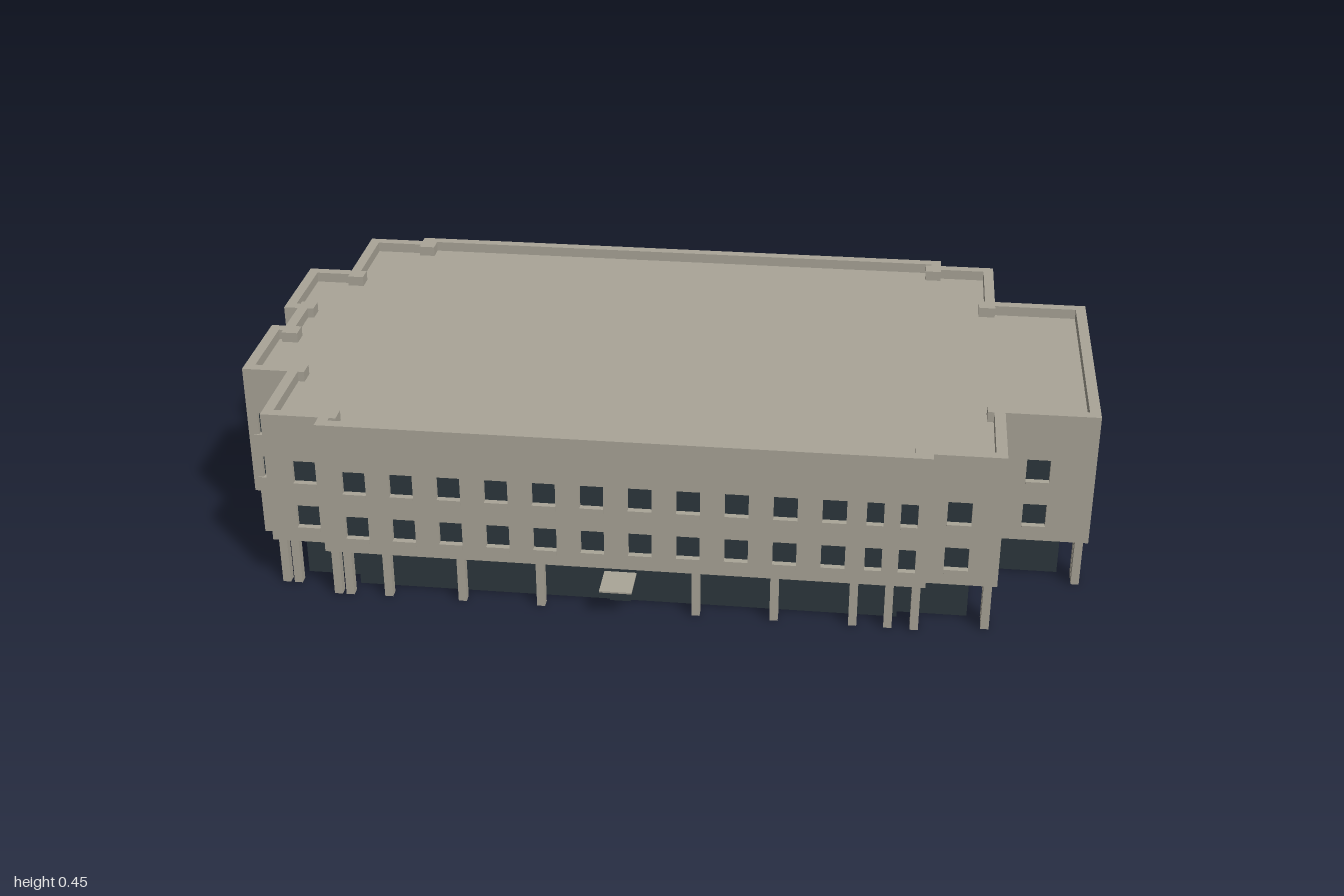
import * as THREE from 'three';

const stone = new THREE.MeshStandardMaterial({ color: 0xaaa598 });
stone.name = 'warm grey stone';
const glass = new THREE.MeshStandardMaterial({ color: 0x2d373d });
glass.name = 'dark glass';
const glassSheet = glass.clone(); // same colour, seen from both sides
glassSheet.side = THREE.DoubleSide;

const TOP = 0.45, BASE = 0.12, DECK = 0.425, WALL = 0.025, INSET = 0.06;
const SILLS = [0.147, 0.264], WIN_H = 0.069, WIN_W = 0.054, SILL_H = 0.012;

// Window positions along the two long facades; [position, width] for narrow ones
const long = [...Array(11).keys()].map(i => -0.675 + i * 0.109);
long.push([0.505, 0.038], [0.58, 0.038]);

// Footprint corners (x, z), each with the windows of the wall that starts there
const plan = [
  [-0.755, 0.532, long],
  [0.625, 0.532, []],
  [0.625, 0.51, [0.69]],
  [0.785, 0.51, [0.44, 0.335]],
  [0.785, 0.295, [0.87]],
  [1, 0.295, [0.22, 0.095, [0, 0.024], -0.1, -0.225]],
  [1, -0.312, [0.88]],
  [0.775, -0.312, [-0.345, -0.45]],
  [0.775, -0.525, [0.70]],
  [0.64, -0.525, []],
  [0.64, -0.557, long],
  [-0.75, -0.557, []],
  [-0.75, -0.535, [-0.81]],
  [-0.89, -0.535, [-0.47, -0.375]],
  [-0.89, -0.32, [-0.945]],
  [-1, -0.32, [-0.25, -0.14]],
  [-1, -0.075, []],
  [-0.965, -0.075, [[-0.022, 0.03]]],
  [-0.965, 0.03, []],
  [-1, 0.03, [0.09, 0.2]],
  [-1, 0.275, [[-0.975, 0.026], [-0.915, 0.034]]],
  [-0.89, 0.275, [0.335, 0.43]],
  [-0.89, 0.495, [-0.80]],
  [-0.755, 0.495, []],
];
const N = plan.length;
const corner = i => new THREE.Vector2(plan[(i + N) % N][0], plan[(i + N) % N][1]);
const dirOf = i => corner(i + 1).sub(corner(i)).normalize();
const normalOf = i => { const d = dirOf(i); return new THREE.Vector2(-d.y, d.x); };

// Corner moved inward by a on the wall before it and b on the wall after it
const inward = (i, a, b = a) =>
  corner(i).addScaledVector(normalOf(i - 1), -a).addScaledVector(normalOf(i), -b);
const insetPlan = d => plan.map((_, i) => inward(i, d));

function add(parent, name, geo, mat, x = 0, y = 0, z = 0) {
  const m = new THREE.Mesh(geo, mat);
  m.name = name;
  m.position.set(x, y, z);
  parent.add(m);
  return m;
}

const box = (parent, name, mat, w, h, d, x, y, z) =>
  add(parent, name, new THREE.BoxGeometry(w, h, d), mat, x, y, z);

function rect(cls, x0, x1, y0, y1) {
  return new cls([[x0, y0], [x1, y0], [x1, y1], [x0, y1]].map(p => new THREE.Vector2(...p)));
}

// Horizontal plate from a plan shape, with its upper face at the given height
function plate(parent, name, shape, top, thick) {
  const geo = new THREE.ExtrudeGeometry(shape, { depth: thick, bevelEnabled: false });
  add(parent, name, geo, stone, 0, top, 0).rotation.x = Math.PI / 2;
}

// One upper wall: local x runs along it, local z points outward
function upperWall(parent, i) {
  const a = corner(i), d = dirOf(i), len = a.distanceTo(corner(i + 1));
  const g = new THREE.Group();
  g.name = 'upperWall';
  g.position.set(a.x, 0, a.y);
  g.rotation.y = Math.atan2(-d.y, d.x);
  const shape = rect(THREE.Shape, 0, len, BASE, TOP);
  for (const win of plan[i][2]) {
    const [pos, w] = Array.isArray(win) ? win : [win, WIN_W];
    const c = Math.abs(d.x) > 0.5 ? (pos - a.x) * d.x : (pos - a.y) * d.y;
    for (const y of SILLS) {
      shape.holes.push(rect(THREE.Path, c - w / 2, c + w / 2, y, y + WIN_H));
      add(g, 'windowPane', new THREE.PlaneGeometry(w, WIN_H), glass, c, y + WIN_H / 2, -0.012);
      box(g, 'windowSill', stone, w, SILL_H, 0.016, c, y + SILL_H / 2, -0.005);
    }
  }
  const geo = new THREE.ExtrudeGeometry(shape, { depth: 0.02, bevelEnabled: false });
  add(g, 'facade', geo, stone, 0, 0, -0.02);
  box(g, 'wallLining', stone, len, TOP - BASE, 0.005, len / 2, (TOP + BASE) / 2, -WALL + 0.0025);
  parent.add(g);
}

// Ground floor glazing under one wall
function groundGlass(parent, i) {
  const a = inward(i, INSET), b = inward(i + 1, INSET), d = dirOf(i);
  const isBack = i === 10;
  const count = isBack ? 22 : 1;
  const w = a.distanceTo(b) / count;
  for (let k = 0; k < count; k++) {
    const p = a.clone().lerp(b, (k + 0.5) / count);
    const m = add(parent, isBack ? 'rearGlassPanel' : 'groundGlass',
      new THREE.PlaneGeometry(w, BASE), isBack ? glass : glassSheet, p.x, BASE / 2, p.y);
    // the rear panels face into the hall
    m.rotation.y = Math.atan2(-d.y, d.x) + (isBack ? Math.PI : 0);
  }
}

export function createModel() {
  const model = new THREE.Group();
  model.name = 'officeBuilding';
  const post = (x, z) => box(model, 'post', stone, 0.019, BASE, 0.022, x, BASE / 2, z);

  for (let i = 0; i < N; i++) {
    upperWall(model, i);
    groundGlass(model, i);
    if (dirOf(i - 1).cross(dirOf(i)) < 0) {
      // paired posts under each outer corner
      for (const p of [inward(i, 0.02), inward(i, 0.048, 0.02)]) post(p.x, p.y);
    } else {
      // pier filling each inner corner
      const p = inward(i, 0.02);
      box(model, 'cornerPier', stone, 0.04, TOP - BASE, 0.04, p.x, (TOP + BASE) / 2, p.y);
    }
  }

  // Posts along the long sides and the right end
  for (const x of [-0.615, -0.44, -0.255, 0.105, 0.285, 0.465, 0.545]) {
    post(x, 0.51);
    post(x, -0.535);
  }
  for (const z of [0.03, -0.035]) post(0.975, z);

  // Roof deck behind the parapet, and the soffit over the recessed ground floor
  plate(model, 'roofDeck', new THREE.Shape(insetPlan(0.02)), DECK, 0.025);
  const soffit = new THREE.Shape(insetPlan(0.002));
  soffit.holes.push(new THREE.Path(insetPlan(INSET)));
  plate(model, 'soffit', soffit, BASE + 0.007, 0.006);

  // Entrance with its canopy
  box(model, 'entranceCanopy', stone, 0.075, 0.004, 0.09, -0.075, 0.073, 0.514);
  box(model, 'entranceDoor', glass, 0.048, 0.068, 0.008, -0.075, 0.035, 0.476);
  box(model, 'doorRail', stone, 0.036, 0.004, 0.004, -0.075, 0.03, 0.482);
  return model;
}
